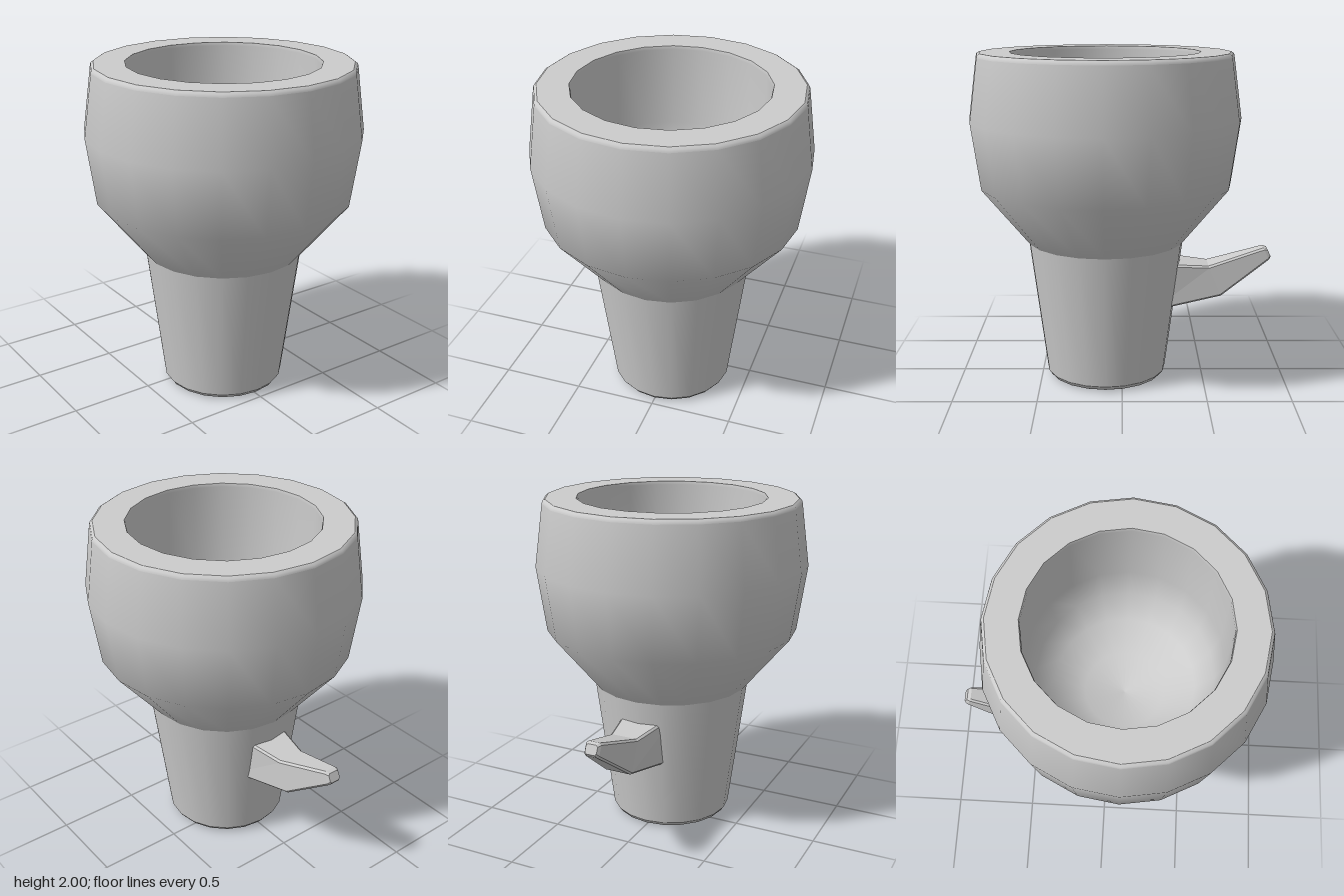
import * as THREE from 'three';

const SIDES = 20;
const CENTRE_Z = 0.1;
const material = new THREE.MeshStandardMaterial({ color: 0xcccccc });

// One smooth ring of the turned body; separate rings keep creases between them.
function turned(name, profile) {
  const points = profile.map(([r, y]) => new THREE.Vector2(r, y));
  const mesh = new THREE.Mesh(new THREE.LatheGeometry(points, SIDES), material);
  mesh.name = name;
  return mesh;
}

// Chamfered rectangular cross-section between an upper and a lower edge.
function section({ top, bottom, w, c }) {
  const up = new THREE.Vector3(0, top[1] - bottom[1], top[0] - bottom[0]);
  const h = up.length();
  up.normalize();
  const outline = [
    [w - c, 0], [w, c], [w, h - c], [w - c, h],
    [c - w, h], [-w, h - c], [-w, c], [c - w, 0],
  ];
  return outline.map(([x, t]) =>
    new THREE.Vector3(x, bottom[1] + up.y * t, bottom[0] + up.z * t));
}

// Flat-faced loft running towards -z, closed at the far end.
function loft(sections) {
  const positions = [];
  const tri = (...corners) => corners.forEach((p) => positions.push(p.x, p.y, p.z));
  const n = sections[0].length;
  for (let s = 0; s < sections.length - 1; s++) {
    const near = sections[s];
    const far = sections[s + 1];
    for (let i = 0; i < n; i++) {
      const j = (i + 1) % n;
      tri(near[i], far[i], far[j]);
      tri(near[i], far[j], near[j]);
    }
  }
  const end = sections[sections.length - 1];
  for (let i = 1; i < n - 1; i++) tri(end[0], end[i + 1], end[i]);
  const geometry = new THREE.BufferGeometry();
  geometry.setAttribute('position', new THREE.Float32BufferAttribute(positions, 3));
  geometry.computeVertexNormals();
  return geometry;
}

export function createModel() {
  const model = new THREE.Group();
  model.name = 'bowlOnStem';

  const body = new THREE.Group();
  body.name = 'body';
  body.position.z = CENTRE_Z;
  body.add(
    // Tapered stem with a bevelled foot
    turned('stemBase', [[0, 0], [0.33, 0]]),
    turned('stemBevel', [[0.33, 0], [0.352, 0.01], [0.37, 0.035]]),
    turned('stemWall', [[0.37, 0.035], [0.475, 0.86]]),
    // Wide bowl and its flat rim
    turned('bowlWall', [[0.475, 0.86], [0.76, 1.21], [0.815, 1.605], [0.764, 1.975]]),
    turned('rimBevel', [[0.764, 1.975], [0.76, 1.99], [0.745, 2]]),
    turned('rim', [[0.745, 2], [0.565, 2]]),
    // Rounded hollow
    turned('bowlInside', [
      [0.565, 2], [0.56, 1.98], [0.56, 1.5], [0.52, 1.3],
      [0.42, 1.14], [0.24, 1.03], [0, 0.99],
    ]),
  );
  model.add(body);

  // Bent, tapering lever at the back; edges are given as [z, y]
  const lever = new THREE.Mesh(loft([
    { top: [-0.2, 0.735], bottom: [-0.2, 0.44], w: 0.153, c: 0.012 },
    { top: [-0.53, 0.705], bottom: [-0.61, 0.515], w: 0.09, c: 0.012 },
    { top: [-0.87, 0.809], bottom: [-0.905, 0.733], w: 0.047, c: 0.012 },
    { top: [-0.893, 0.802], bottom: [-0.917, 0.75], w: 0.036, c: 0.01 },
  ].map(section)), material);
  lever.name = 'lever';
  model.add(lever);

  return model;
}
